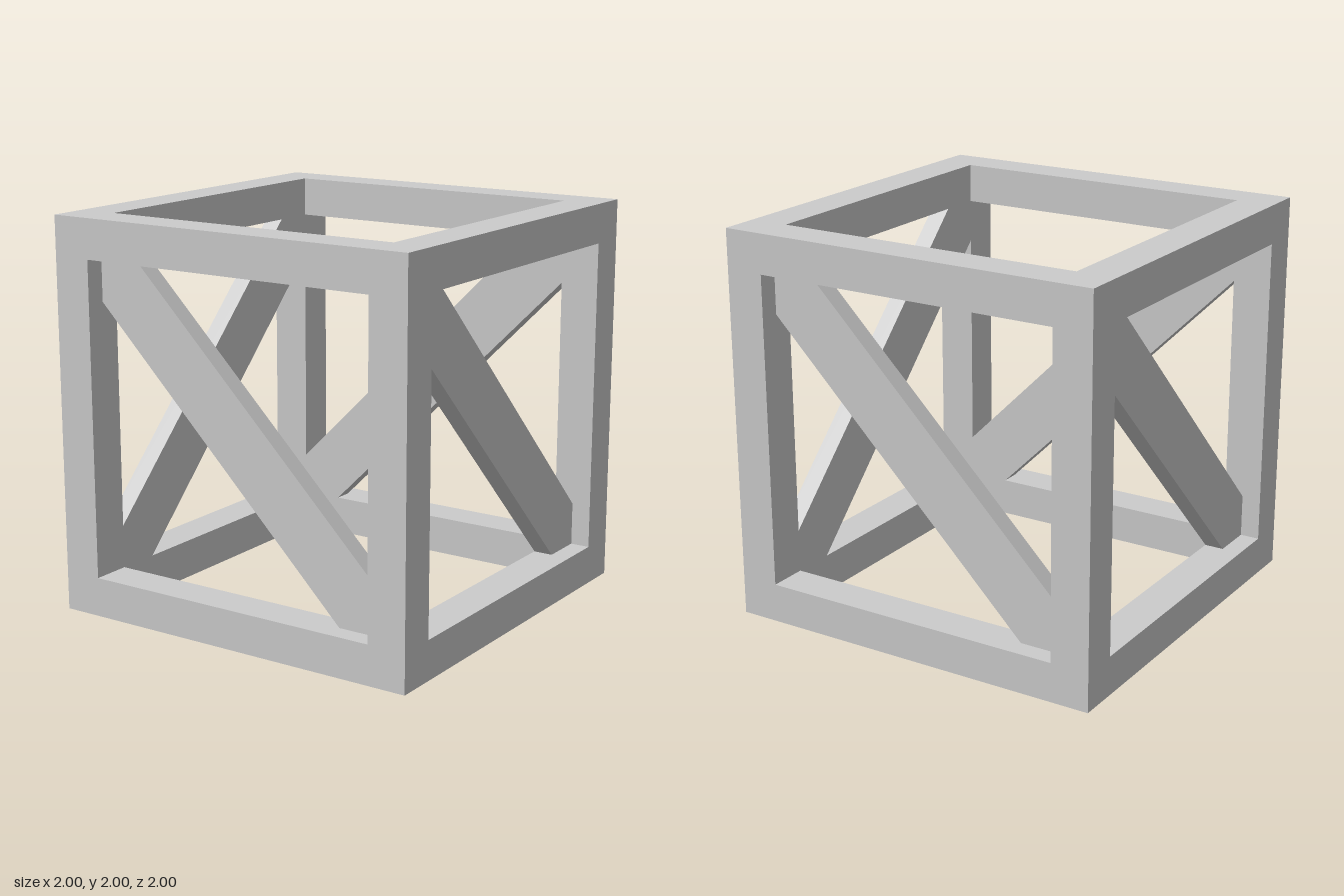
import * as THREE from 'three';

const OUT = 1;      // half of the cube's side
const BAR = 0.2;    // thickness of the frame bars
const IN = OUT - BAR;
const CLIP = 0.22;  // how far a brace runs along each bar at its corner

const material = new THREE.MeshStandardMaterial({ color: 0xcccccc, flatShading: true });

function polygon(points) {
  return new THREE.Shape(points.map(([x, y]) => new THREE.Vector2(x, y)));
}

function square(h) {
  return [[-h, -h], [h, -h], [h, h], [-h, h]];
}

function addMesh(parent, name, geometry) {
  const mesh = new THREE.Mesh(geometry, material);
  mesh.name = name;
  parent.add(mesh);
  return mesh;
}

export function createModel() {
  const model = new THREE.Group();
  model.name = 'bracedCubeFrame';

  // Square rings at the bottom and top
  const ring = polygon(square(OUT));
  ring.holes.push(polygon(square(IN).reverse()));
  const ringGeometry = new THREE.ExtrudeGeometry(ring, { depth: BAR, bevelEnabled: false });
  ringGeometry.rotateX(-Math.PI / 2);
  addMesh(model, 'bottomRing', ringGeometry);
  addMesh(model, 'topRing', ringGeometry).position.y = 2 * OUT - BAR;

  // Diagonal brace, clipped to fit the opening, flush with the inside of the frame
  const brace = polygon([
    [-IN, IN], [-IN, IN - CLIP], [IN - CLIP, -IN],
    [IN, -IN], [IN, -IN + CLIP], [-IN + CLIP, IN],
  ]);
  const braceGeometry = new THREE.ExtrudeGeometry(brace, { depth: BAR / 2, bevelEnabled: false });
  braceGeometry.translate(0, OUT, IN);

  const postGeometry = new THREE.BoxGeometry(BAR, 2 * IN, BAR);
  postGeometry.translate(OUT - BAR / 2, OUT, OUT - BAR / 2);

  // One corner post and one brace per side, turned around the vertical axis
  ['front', 'left', 'back', 'right'].forEach((side, i) => {
    const group = new THREE.Group();
    group.name = side + 'Side';
    group.rotation.y = i * Math.PI / 2;
    addMesh(group, 'cornerPost', postGeometry);
    addMesh(group, 'diagonalBrace', braceGeometry);
    model.add(group);
  });

  return model;
}
